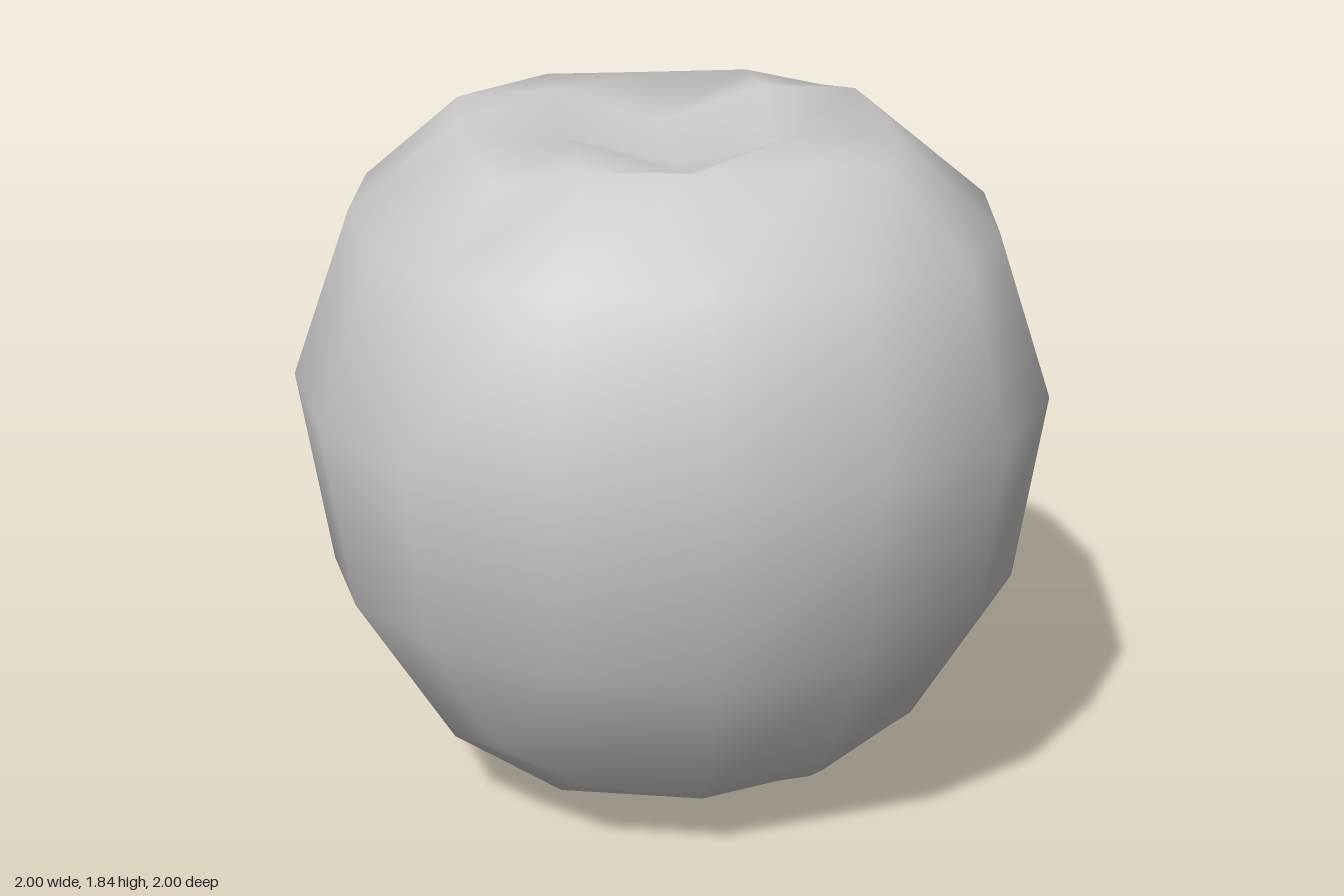
import * as THREE from 'three';
import { mergeVertices } from 'three/addons/utils/BufferGeometryUtils.js';

// One eighth of each horizontal level, as [wide, height, narrow].
// Outer ring: middle of a side, quarter, corner.
const rings = {
  '-2': [[0.67, 0.185, 0], [0.62, 0.22, 0.32], [0.52, 0.29, 0.52]],
  '-1': [[0.92, 0.617, 0], [0.865, 0.645, 0.38], [0.695, 0.68, 0.695]],
  '0': [[1, 1.153, 0], [0.935, 1.153, 0.4], [0.735, 1.153, 0.735]],
  '1': [[0.84, 1.595, 0], [0.79, 1.593, 0.37], [0.65, 1.58, 0.65]],
  '2': [[0.56, 1.815, 0], [0.54, 1.82, 0.28], [0.485, 1.785, 0.485]],
};
// Inside the caps: centre, straight neighbour, diagonal neighbour.
const caps = {
  '-2': [[0, 0.003, 0], [0.35, 0.022, 0], [0.34, 0.05, 0.34]],
  '2': [[0, 1.7, 0], [0.28, 1.74, 0], [0.28, 1.835, 0.28]],
};

function bodyPoint(i, j, k) {
  const a = Math.max(Math.abs(i), Math.abs(k));
  const b = Math.min(Math.abs(i), Math.abs(k));
  const [wide, y, narrow] = a === 2 ? rings[j][b] : caps[j][a + b];
  const xIsWide = Math.abs(i) >= Math.abs(k);
  const x = Math.sign(i) * (xIsWide ? wide : narrow);
  const z = Math.sign(k) * (xIsWide ? narrow : wide);
  // the fruit leans very slightly
  return [x, y - 0.006 * (x - z), z];
}

export function createModel() {
  const group = new THREE.Group();
  group.name = 'fruit';

  // A cube grid whose points are moved onto the rounded, dimpled body
  let geometry = new THREE.BoxGeometry(4, 4, 4, 4, 4, 4);
  geometry.deleteAttribute('normal');
  geometry.deleteAttribute('uv');
  geometry.clearGroups();
  geometry = mergeVertices(geometry);
  const pos = geometry.attributes.position;
  for (let n = 0; n < pos.count; n++) {
    const [i, j, k] = [pos.getX(n), pos.getY(n), pos.getZ(n)].map((v) => Math.round(v) + 0);
    pos.setXYZ(n, ...bodyPoint(i, j, k));
  }
  geometry.computeVertexNormals();

  const body = new THREE.Mesh(geometry, new THREE.MeshStandardMaterial({ color: 0xcccccc }));
  body.name = 'fruitBody';
  group.add(body);
  return group;
}
